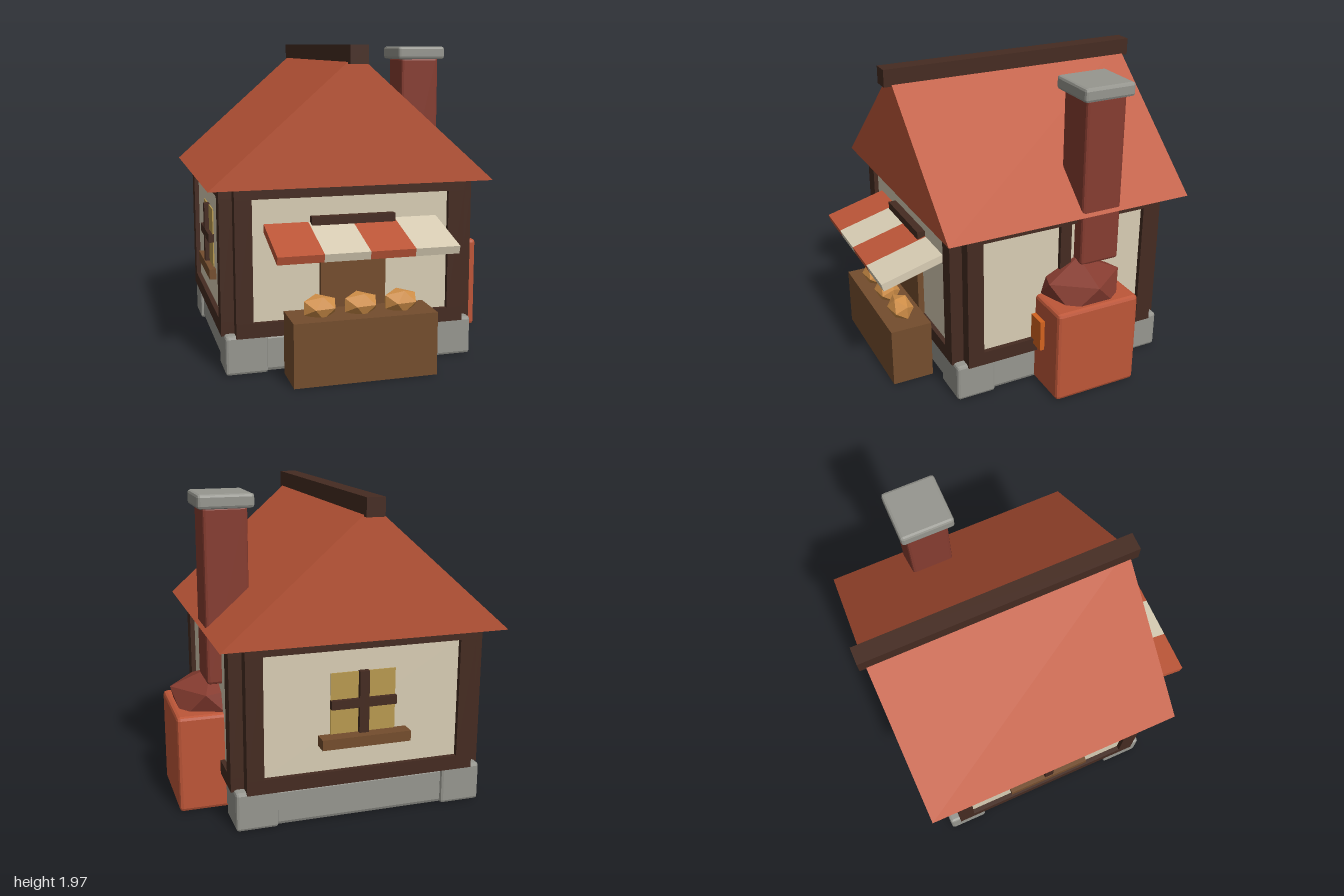
import * as THREE from 'three';
import { RoundedBoxGeometry } from 'three/addons/geometries/RoundedBoxGeometry.js';

const colours = {
  roofRed: 0xbd5638, brick: 0x863c30, timber: 0x452b21, wood: 0x744d2d, plaster: 0xd8cdb4,
  stone: 0x96968f, ember: 0xd2621f, bread: 0xd08f48, glass: 0xb8994f,
};

export function createModel() {
  const model = new THREE.Group();
  model.name = 'bakery';
  const mats = {};
  for (const [name, color] of Object.entries(colours)) {
    mats[name] = new THREE.MeshStandardMaterial({ color });
    mats[name].name = name;
  }

  const add = (parent, name, geometry, mat) => {
    const mesh = new THREE.Mesh(geometry, mats[mat]);
    mesh.name = name;
    parent.add(mesh);
    return mesh;
  };
  // Box given by its limits on each axis; a bevel chamfers the edges
  const box = (parent, name, mat, [x0, x1], [y0, y1], [z0, z1], bevel = 0) => {
    const size = [x1 - x0, y1 - y0, z1 - z0];
    const g = bevel ? new RoundedBoxGeometry(...size, 1, bevel) : new THREE.BoxGeometry(...size);
    if (bevel) g.computeVertexNormals();
    g.translate((x0 + x1) / 2, (y0 + y1) / 2, (z0 + z1) / 2);
    return add(parent, name, g, mat);
  };
  // Faceted lump: an icosahedron turned, then stretched
  const lump = (parent, name, mat, turnY, turnZ, scale, pos) => {
    const g = new THREE.IcosahedronGeometry(1, 0);
    g.rotateZ(turnZ).rotateY(turnY).scale(...scale).translate(...pos);
    g.computeVertexNormals();
    return add(parent, name, g, mat);
  };

  const CX = -0.095, CZ = -0.12;

  // Stone foundation with larger corner stones
  const foundation = new THREE.Group();
  foundation.name = 'foundation';
  foundation.position.set(CX, 0, CZ);
  model.add(foundation);
  box(foundation, 'footing', 'stone', [-0.77, 0.77], [0, 0.235], [-0.72, 0.72], 0.025);
  for (const sx of [-1, 1]) for (const sz of [-1, 1]) {
    const stone = box(foundation, 'cornerStone', 'stone', [-0.13, 0.13], [0, 0.245], [-0.13, 0.13], 0.018);
    stone.position.set(sx * 0.66, 0, sz * 0.61);
  }

  // Timber-framed walls: each is built facing +z with its outer face at z = 0
  box(model, 'core', 'timber', [-0.81, 0.62], [0.2, 1.145], [-0.78, 0.54]);
  const wall = (name, half, distance, angle) => {
    const g = new THREE.Group();
    g.name = name;
    const offset = new THREE.Vector3(0, 0, distance).applyAxisAngle(new THREE.Vector3(0, 1, 0), angle);
    g.position.set(CX + offset.x, 0, CZ + offset.z);
    g.rotation.y = angle;
    model.add(g);
    const depth = [-0.085, 0];
    box(g, 'plasterPanel', 'plaster', [-half + 0.05, half - 0.05], [0.28, 1.11], [-0.1, -0.03]);
    box(g, 'sillBeam', 'timber', [-half, half], [0.23, 0.32], depth);
    box(g, 'topBeam', 'timber', [-half, half], [1.073, 1.142], depth);
    for (const s of [-1, 1]) {
      const xs = [s * half, s * (half - 0.105)].sort((a, b) => a - b);
      box(g, 'post', 'timber', xs, [0.32, 1.073], depth);
    }
    return g;
  };
  const front = wall('frontWall', 0.725, 0.75, 0);
  const left = wall('leftWall', 0.67, 0.805, Math.PI / 2);
  const back = wall('backWall', 0.725, 0.75, Math.PI);
  const right = wall('rightWall', 0.67, 0.805, -Math.PI / 2);
  box(left, 'middlePost', 'timber', [-0.038, 0.038], [0.32, 1.073], [-0.085, -0.002]);

  // Windows with crossed bars and a wooden sill
  const addWindow = (parent, sillOut) => {
    const w = new THREE.Group();
    w.name = 'window';
    parent.add(w);
    box(w, 'windowPane', 'glass', [-0.205, 0.205], [0.54, 0.93], [-0.031, -0.022]);
    box(w, 'uprightBar', 'timber', [-0.03, 0.03], [0.54, 0.935], [-0.04, 0.006]);
    box(w, 'crossBar', 'timber', [-0.207, 0.207], [0.71, 0.765], [-0.04, 0.004]);
    box(w, 'windowSill', 'wood', [-0.28, 0.28], [0.485, 0.55], [-0.04, sillOut]);
  };
  addWindow(back, 0.06);
  addWindow(right, 0.012);

  // Door, awning and serving counter
  box(front, 'door', 'wood', [-0.205, 0.205], [0.24, 0.86], [-0.04, 0.01]);
  box(front, 'awningBeam', 'timber', [-0.262, 0.264], [0.9, 0.955], [-0.04, 0.022]);
  const awning = new THREE.Group();
  awning.name = 'awning';
  awning.position.set(CX, 0.84, 0.79);
  awning.rotation.x = 0.27;
  model.add(awning);
  for (let i = 0; i < 4; i++) {
    const x = -0.546 + i * 0.273;
    box(awning, 'awningStripe', i % 2 ? 'plaster' : 'roofRed', [x, x + 0.273], [-0.025, 0.025], [-0.21, 0.21]);
  }
  box(model, 'counter', 'wood', [-0.535, 0.35], [0, 0.39], [0.65, 0.92]);
  for (let i = -1; i <= 1; i++) {
    lump(model, 'loaf', 'bread', Math.PI / 2 + 0.2, 0, [0.118, 0.08, 0.082], [CX + i * 0.252, 0.442, 0.785]);
  }

  // Gabled roof and ridge beam
  const gable = new THREE.Shape([[-0.885, 1.14], [0.885, 1.14], [0, 1.92]].map((p) => new THREE.Vector2(...p)));
  const roof = new THREE.ExtrudeGeometry(gable, { depth: 1.66, bevelEnabled: false });
  roof.translate(CX, 0, -0.96);
  add(model, 'roof', roof, 'roofRed');
  box(model, 'ridgeBeam', 'timber', [-0.15, -0.038], [1.86, 1.97], [-1, 0.75]);

  // Oven with domed top, glowing mouth and chimney
  box(model, 'oven', 'roofRed', [0.43, 0.97], [0, 0.62], [-0.5, 0.07], 0.022);
  lump(model, 'ovenDome', 'brick', 0, -0.5536, [0.294, 0.185, 0.294], [0.7, 0.652, -0.215]);
  box(model, 'ovenMouth', 'ember', [0.6, 0.8], [0.285, 0.49], [0.05, 0.1]);
  box(model, 'chimney', 'brick', [0.5, 0.77], [0.8, 1.88], [-0.465, -0.195], 0.018);
  box(model, 'chimneyCap', 'stone', [0.465, 0.805], [1.87, 1.957], [-0.5, -0.16], 0.018);

  return model;
}
